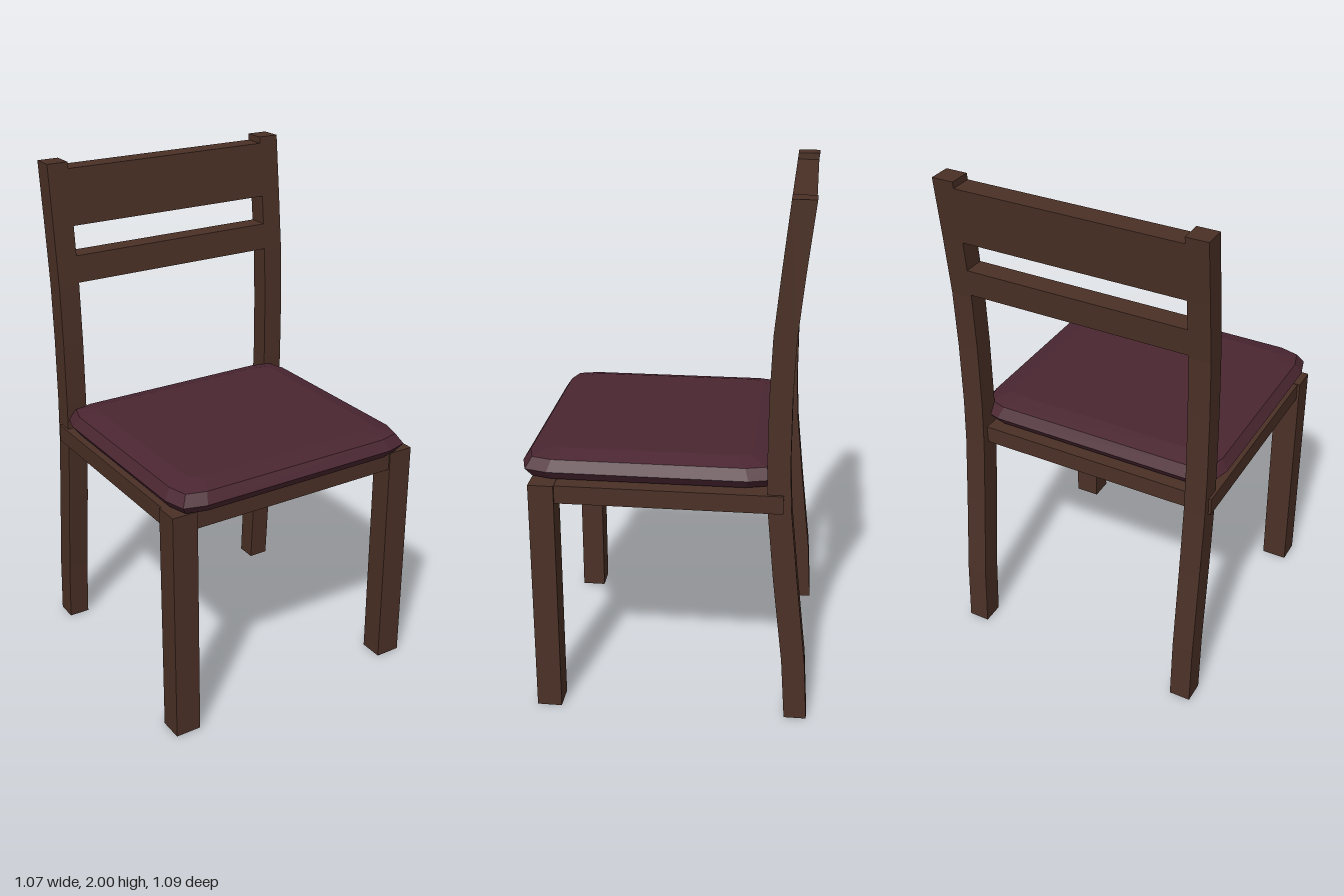
import * as THREE from 'three';

export function createModel() {
  const chair = new THREE.Group();
  chair.name = 'chair';

  const wood = new THREE.MeshStandardMaterial({ color: 0x4a3026 });
  wood.name = 'dark brown wood';
  const fabric = new THREE.MeshStandardMaterial({ color: 0x4a2631 });
  fabric.name = 'plum fabric';

  const add = (name, geometry, material) => {
    const mesh = new THREE.Mesh(geometry, material);
    mesh.name = name;
    chair.add(mesh);
    return mesh;
  };
  const box = (name, x0, x1, y0, y1, z0, z1) =>
    add(name, new THREE.BoxGeometry(x1 - x0, y1 - y0, z1 - z0), wood)
      .position.set((x0 + x1) / 2, (y0 + y1) / 2, (z0 + z1) / 2);

  // Side curve of the back: [height, front z, rear z]
  const curve = [
    [0, -0.46, -0.545], [0.25, -0.443, -0.53], [0.6, -0.402, -0.49], [0.87, -0.376, -0.462],
    [1.05, -0.37, -0.453], [1.3, -0.37, -0.452], [1.53, -0.378, -0.46], [1.76, -0.4, -0.483], [2, -0.425, -0.51],
  ];
  const sample = (y) => {
    const i = Math.max(1, curve.findIndex((c) => c[0] >= y));
    const [a, b] = [curve[i - 1], curve[i]];
    const t = (y - a[0]) / (b[0] - a[0]);
    return [y, a[1] + (b[1] - a[1]) * t, a[2] + (b[2] - a[2]) * t];
  };

  // Piece of the curved back between two heights and two x positions
  const backPiece = (name, x0, x1, y0, y1) => {
    const rows = [sample(y0), ...curve.filter((c) => c[0] > y0 && c[0] < y1), sample(y1)];
    const outline = [
      ...rows.map(([y, f]) => new THREE.Vector2(-f, y)),
      ...rows.reverse().map(([y, , r]) => new THREE.Vector2(-r, y)),
    ];
    const g = new THREE.ExtrudeGeometry(new THREE.Shape(outline), { depth: x1 - x0, bevelEnabled: false });
    g.rotateY(Math.PI / 2);
    g.translate(x0, 0, 0);
    add(name, g, wood);
  };

  // Legs and back posts
  for (const [side, s] of [['left', 1], ['right', -1]]) {
    const span = (a, b) => (s > 0 ? [a, b] : [-b, -a]);
    box(side + 'FrontLeg', ...span(0.435, 0.537), 0, 0.94, 0.405, 0.5);
    backPiece(side + 'BackPost', ...span(0.433, 0.517), 0, 2);
  }

  // Back rails follow the curve of the posts
  backPiece('topRail', -0.434, 0.434, 1.76, 1.975);
  backPiece('lowerRail', -0.434, 0.434, 1.54, 1.645);

  // Solid seat base
  box('seatBase', -0.527, 0.527, 0.868, 0.938, -0.432, 0.494);

  // Cushion from stacked rounded-square rings: [height, inset]
  const rings = [[0.93, 0.06], [0.945, 0.025], [0.98, 0], [1.02, 0.027], [1.04, 0.1]];
  const ringSize = 12;
  const pos = [];
  const index = [];
  const [cx, cz, halfX, halfZ] = [-0.013, 0.066, 0.517, 0.479];
  for (const [y, inset] of rings) {
    const [w, d, r] = [halfX - inset, halfZ - inset, 0.11 - inset * 0.5];
    for (let q = 0; q < 4; q++) {
      const sx = q === 0 || q === 3 ? 1 : -1;
      const sz = q < 2 ? 1 : -1;
      const corner = [[0, r], [r * 0.22, r * 0.22], [r, 0]];
      if (q % 2) corner.reverse();
      for (const [ix, iz] of corner) pos.push(cx + sx * (w - ix), y, cz + sz * (d - iz));
    }
  }
  for (let k = 0; k < rings.length - 1; k++) {
    for (let i = 0; i < ringSize; i++) {
      const a = k * ringSize + i;
      const b = k * ringSize + (i + 1) % ringSize;
      index.push(a, a + ringSize, b, b, a + ringSize, b + ringSize);
    }
  }
  const top = (rings.length - 1) * ringSize;
  for (let i = 1; i < ringSize - 1; i++) {
    index.push(top, top + i + 1, top + i, 0, i, i + 1);
  }
  const indexed = new THREE.BufferGeometry();
  indexed.setAttribute('position', new THREE.Float32BufferAttribute(pos, 3));
  indexed.setIndex(index);
  const cushion = indexed.toNonIndexed();
  cushion.computeVertexNormals();
  add('seatCushion', cushion, fabric);

  return chair;
}
